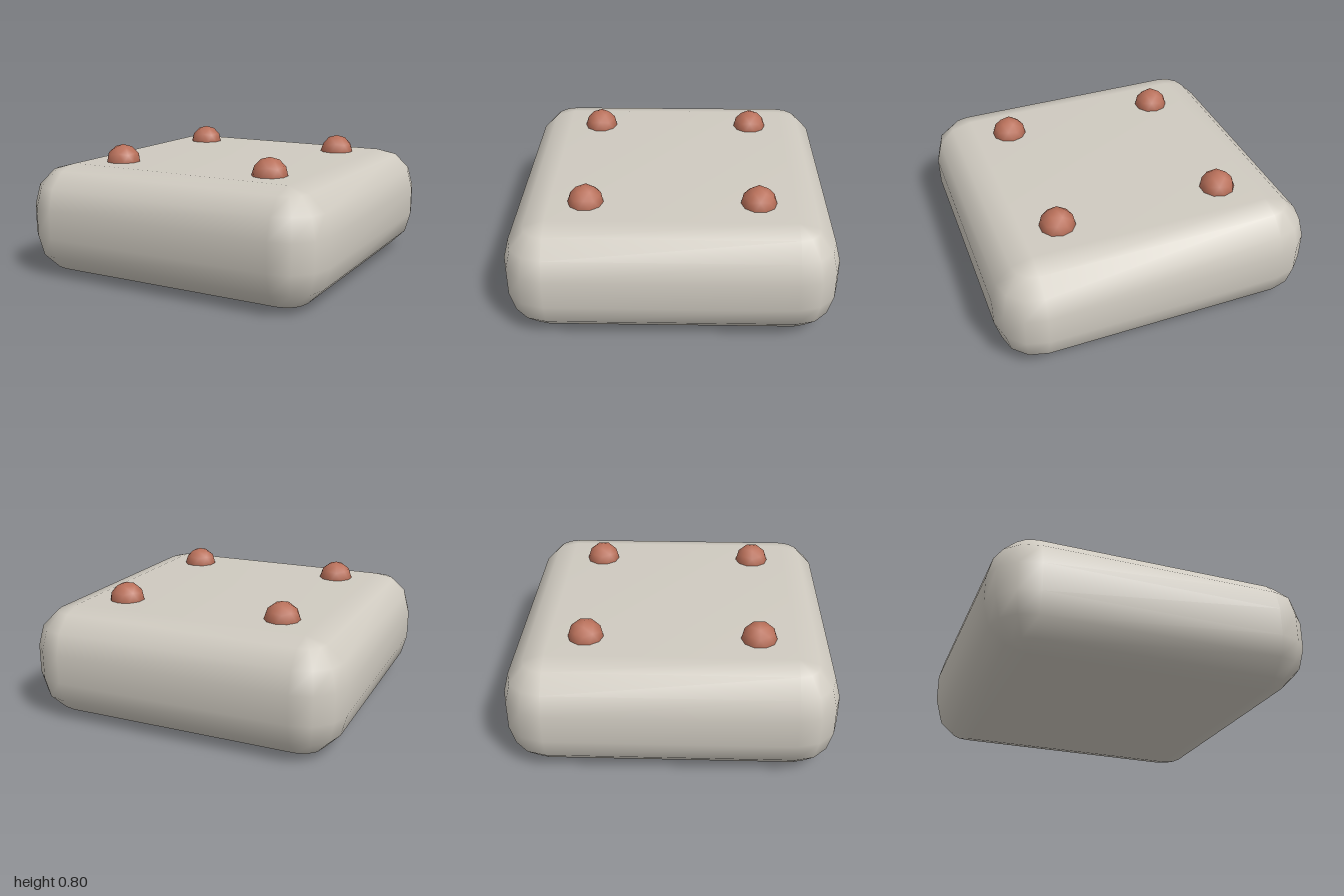
import * as THREE from 'three';
import { mergeVertices } from 'three/addons/utils/BufferGeometryUtils.js';

// Smooth box with each edge rounded in a few steps, centred on the origin
function roundedBlock(width, height, depth, radius, steps) {
  const hx = width / 2 - radius, hy = height / 2 - radius, hz = depth / 2 - radius;
  const corners = [[1, 1], [-1, 1], [-1, -1], [1, -1]];
  const perCorner = steps + 1, columns = 4 * perCorner, rows = 2 * perCorner;
  const positions = [], index = [];

  for (let i = 0; i < rows; i++) {
    const upper = i > steps;
    const lift = ((upper ? i - steps - 1 : i - steps) / steps) * Math.PI / 2;
    const ring = radius * Math.cos(lift);
    const y = (upper ? hy : -hy) + radius * Math.sin(lift);
    corners.forEach(([sx, sz], q) => {
      for (let k = 0; k <= steps; k++) {
        const turn = (q + k / steps) * Math.PI / 2;
        positions.push(sx * hx + ring * Math.cos(turn), y, sz * hz + ring * Math.sin(turn));
      }
    });
  }

  // Side quads between neighbouring rings
  for (let i = 0; i < rows - 1; i++) {
    for (let j = 0; j < columns; j++) {
      const a = i * columns + j, b = i * columns + (j + 1) % columns;
      index.push(a, a + columns, b, b, a + columns, b + columns);
    }
  }

  // Flat bottom and top
  const [p, q, r, s] = [0, 1, 2, 3].map((n) => n * perCorner);
  const t = (rows - 1) * columns;
  index.push(p, q, r, p, r, s, t + p, t + s, t + r, t + p, t + r, t + q);

  const geometry = new THREE.BufferGeometry();
  geometry.setAttribute('position', new THREE.Float32BufferAttribute(positions, 3));
  geometry.setIndex(index);
  const merged = mergeVertices(geometry, 1e-4);
  merged.computeVertexNormals();
  return merged;
}

export function createModel() {
  const model = new THREE.Group();
  model.name = 'studdedBlock';

  const stone = new THREE.MeshStandardMaterial({ color: 0xcfcac0 });
  stone.name = 'warm grey';
  const clay = new THREE.MeshStandardMaterial({ color: 0xb9705a });
  clay.name = 'terracotta';

  // Pillow-edged block
  const block = new THREE.Mesh(roundedBlock(2, 0.695, 2, 0.26, 3), stone);
  block.name = 'block';
  block.position.y = 0.3475;
  model.add(block);

  // Four half-sunken balls, turned so that one vertex points straight up
  const ball = new THREE.IcosahedronGeometry(0.109, 1);
  ball.rotateZ(Math.atan(2 / (1 + Math.sqrt(5))));
  for (const x of [-1, 1]) {
    for (const z of [-1, 1]) {
      const stud = new THREE.Mesh(ball, clay);
      stud.name = (z > 0 ? 'front' : 'back') + (x > 0 ? 'Left' : 'Right') + 'Stud';
      stud.position.set(x * 0.522, 0.695, z * 0.522);
      model.add(stud);
    }
  }
  return model;
}
